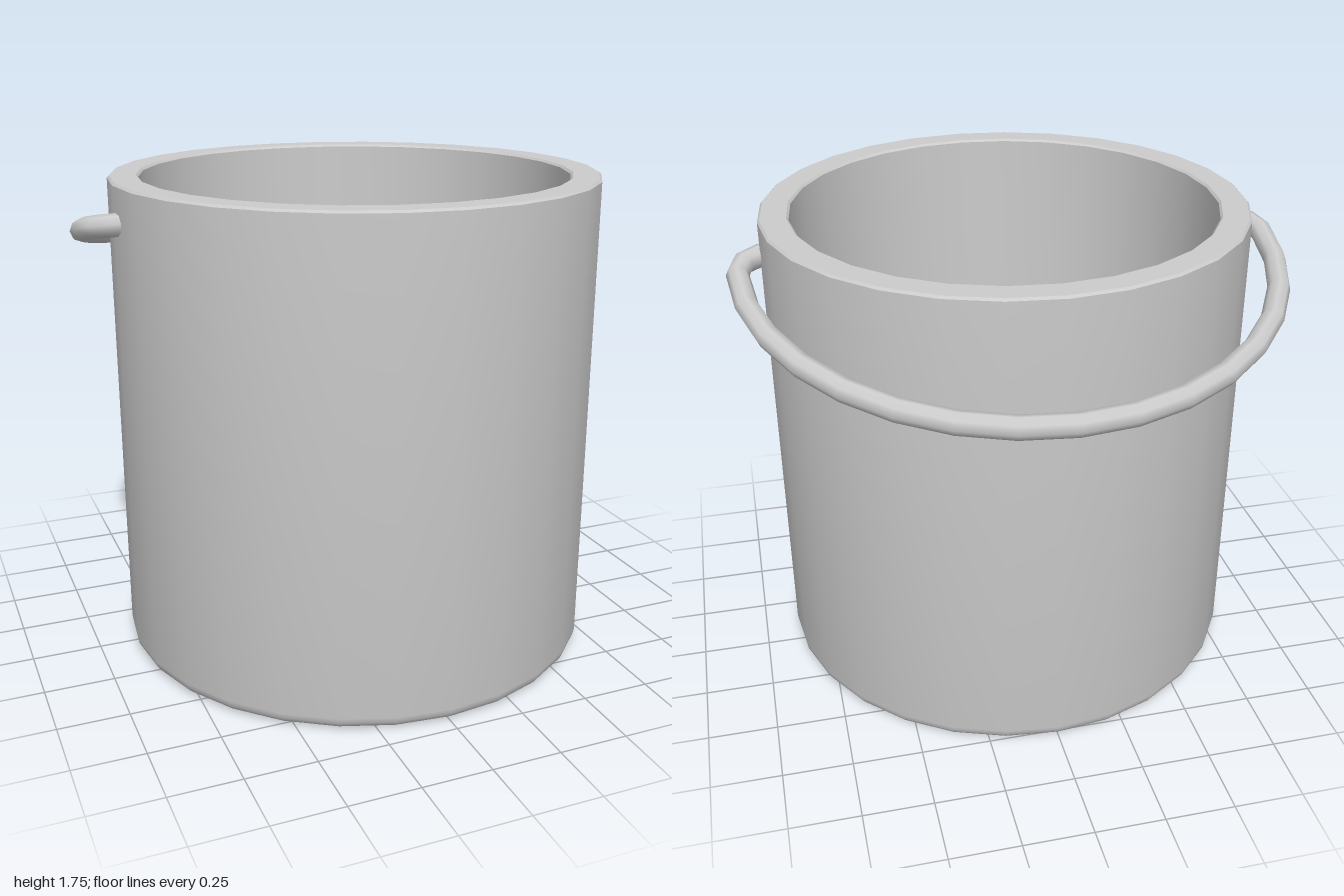
import * as THREE from 'three';
import { toCreasedNormals } from 'three/addons/utils/BufferGeometryUtils.js';

export function createModel() {
  const model = new THREE.Group();
  model.name = 'bucket';
  const material = new THREE.MeshStandardMaterial({ color: 0xcccccc });

  // Bucket body: closed wall profile with a rounded foot and a fine rim bevel
  const R = 0.873, inner = 0.765, height = 1.75, foot = 0.05, bevel = 0.008;
  const profile = [new THREE.Vector2(0, 0)];
  for (let i = 0; i <= 4; i++) {
    const a = (i / 4) * Math.PI / 2;
    profile.push(new THREE.Vector2(R - foot + foot * Math.sin(a), foot - foot * Math.cos(a)));
  }
  profile.push(
    new THREE.Vector2(R, height - bevel),
    new THREE.Vector2(R - bevel, height),
    new THREE.Vector2(inner + bevel, height),
    new THREE.Vector2(inner, height - bevel),
    new THREE.Vector2(inner, 0.11),
    new THREE.Vector2(0, 0.11),
  );
  const body = new THREE.Mesh(toCreasedNormals(new THREE.LatheGeometry(profile, 28), 0.6), material);
  body.name = 'body';
  body.position.z = 0.085;
  model.add(body);

  // Handle: half ring with hooked ends that enter the wall, laid flat then tilted back
  const hook = [[0.82, 0.138], [0.87, 0.113], [0.932, 0.072]];
  const path = hook.map(([x, z]) => new THREE.Vector3(x, 0, z));
  for (let i = 0; i <= 16; i++) {
    const a = (i / 16) * Math.PI;
    path.push(new THREE.Vector3(0.957 * Math.cos(a), 0, -0.945 * Math.sin(a)));
  }
  hook.reverse().forEach(([x, z]) => path.push(new THREE.Vector3(-x, 0, z)));
  const curve = new THREE.CatmullRomCurve3(path);
  // Put one ring of the tube on each path point
  curve.getPointAt = curve.getPoint;
  curve.getTangentAt = curve.getTangent;
  const handle = new THREE.Mesh(new THREE.TubeGeometry(curve, path.length - 1, 0.04, 8), material);
  handle.name = 'handle';
  handle.position.y = 1.59;
  handle.rotation.x = -0.218;
  model.add(handle);

  return model;
}
